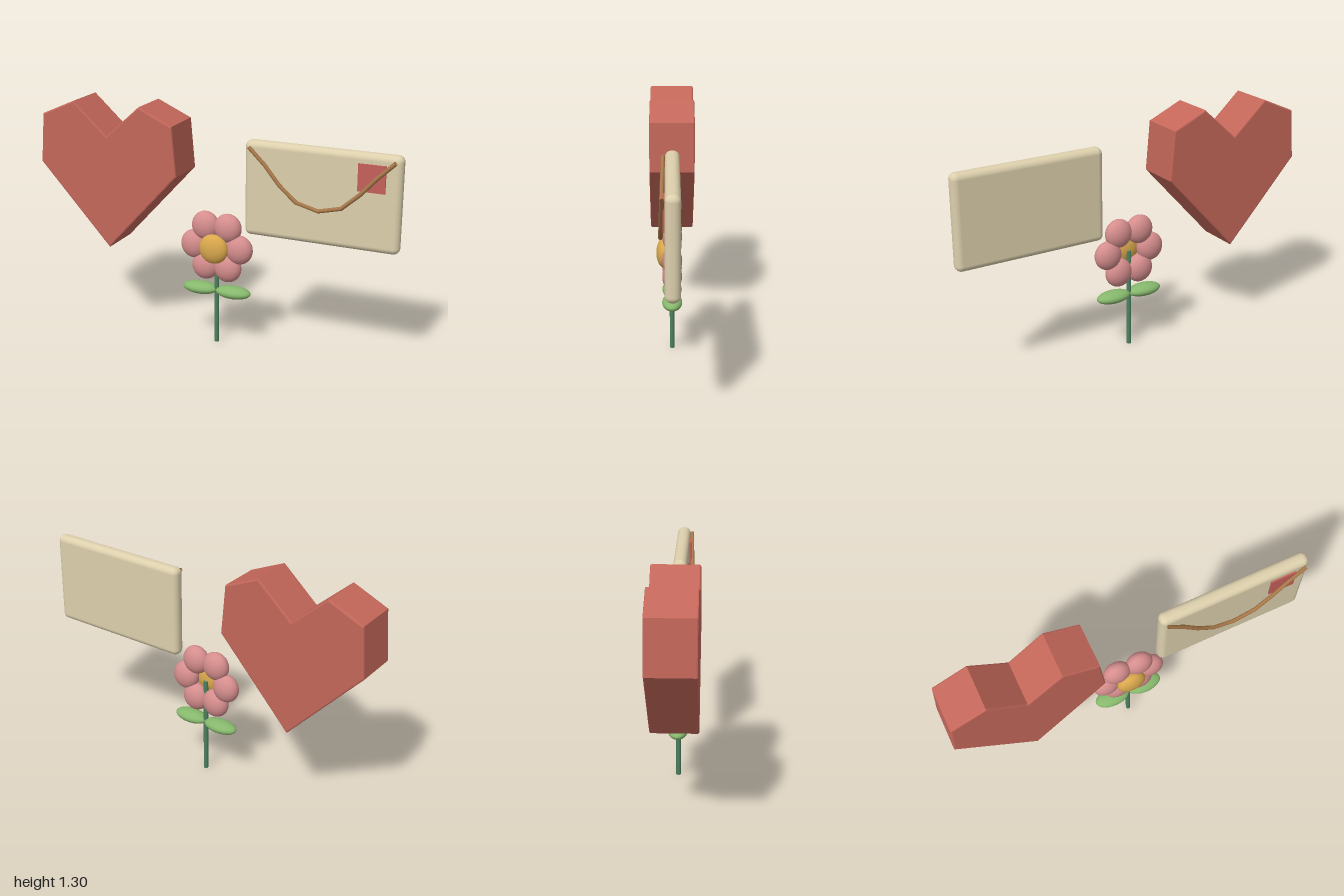
import * as THREE from 'three';
import { RoundedBoxGeometry } from 'three/addons/geometries/RoundedBoxGeometry.js';

const mat = (name, color) => {
  const m = new THREE.MeshStandardMaterial({ color });
  m.name = name;
  return m;
};

export function createModel() {
  const heartRed = mat('heart red', 0xc4675a);
  const stampRed = mat('stamp red', 0xc4605a);
  const paper = mat('paper cream', 0xdccfac);
  const cord = mat('cord brown', 0xa9794a);
  const petalPink = mat('petal pink', 0xd68d8d);
  const gold = mat('flower gold', 0xdaa84c);
  const leafGreen = mat('leaf green', 0x86b86c);
  const stemGreen = mat('stem green', 0x4c8060);

  const model = new THREE.Group();
  model.name = 'heartFlowerEnvelope';
  const add = (parent, name, geometry, material, x = 0, y = 0, z = 0) => {
    const mesh = new THREE.Mesh(geometry, material);
    mesh.name = name;
    mesh.position.set(x, y, z);
    parent.add(mesh);
    return mesh;
  };
  const ellipsoid = (rx, ry, rz) => new THREE.SphereGeometry(1, 32, 20).scale(rx, ry, rz);

  // Faceted heart: half outline mirrored about its centre line
  const half = [[0.195, 1.305], [0.387, 1.22], [0.41, 0.95]];
  const outline = [
    [0, 0.505], ...[...half].reverse(), [0, 1.13],
    ...half.map(([x, y]) => [-x, y]),
  ].map(([x, y]) => new THREE.Vector2(x, y));
  const bevel = 0.008;
  const heart = new THREE.ExtrudeGeometry(new THREE.Shape(outline), {
    depth: 0.246 - 2 * bevel, bevelEnabled: true, bevelThickness: bevel,
    bevelSize: bevel, bevelOffset: -bevel, bevelSegments: 2,
  });
  heart.translate(0, 0, -0.123 + bevel);
  add(model, 'heart', heart, heartRed, -0.59);

  // Flower
  const flower = new THREE.Group();
  flower.name = 'flower';
  model.add(flower);
  add(flower, 'stem', new THREE.CylinderGeometry(0.013, 0.013, 0.555, 16), stemGreen, 0, 0.2775);
  for (const side of [-1, 1]) {
    add(flower, side > 0 ? 'leftLeaf' : 'rightLeaf', ellipsoid(0.1, 0.034, 0.054), leafGreen, side * 0.097, 0.306);
  }
  const petal = ellipsoid(0.077, 0.08, 0.053);
  for (let i = 0; i < 6; i++) {
    const a = (i * Math.PI) / 3;
    add(flower, 'petal' + (i + 1), petal, petalPink, 0.13 * Math.cos(a), 0.555 + 0.13 * Math.sin(a));
  }
  add(flower, 'flowerCentre', ellipsoid(0.082, 0.082, 0.043), gold, 0, 0.555, 0.042);

  // Envelope with flap cord and stamp
  const envelope = new THREE.Group();
  envelope.name = 'envelope';
  model.add(envelope);
  add(envelope, 'envelopeBody', new RoundedBoxGeometry(0.83, 0.51, 0.074, 5, 0.033), paper, 0.585, 0.915);
  add(envelope, 'stamp', new THREE.BoxGeometry(0.142, 0.142, 0.009), stampRed, 0.85, 1.048, 0.041);

  const path = new THREE.CurvePath();
  const pts = [[0.2, 1.14], [0.3, 1.045], [0.38, 0.95], [0.465, 0.88], [0.585, 0.85],
    [0.705, 0.88], [0.79, 0.955], [0.87, 1.045], [0.968, 1.14]]
    .map(([x, y]) => new THREE.Vector3(x, y, 0.058 - 0.01 * (y - 0.85) / 0.29));
  for (let i = 1; i < pts.length; i++) path.add(new THREE.LineCurve3(pts[i - 1], pts[i]));
  const curve = new THREE.CatmullRomCurve3(pts);
  const cordMesh = add(envelope, 'flapCord', new THREE.TubeGeometry(curve, 8, 0.011, 8), cord);
  cordMesh.material.side = THREE.DoubleSide;

  return model;
}
